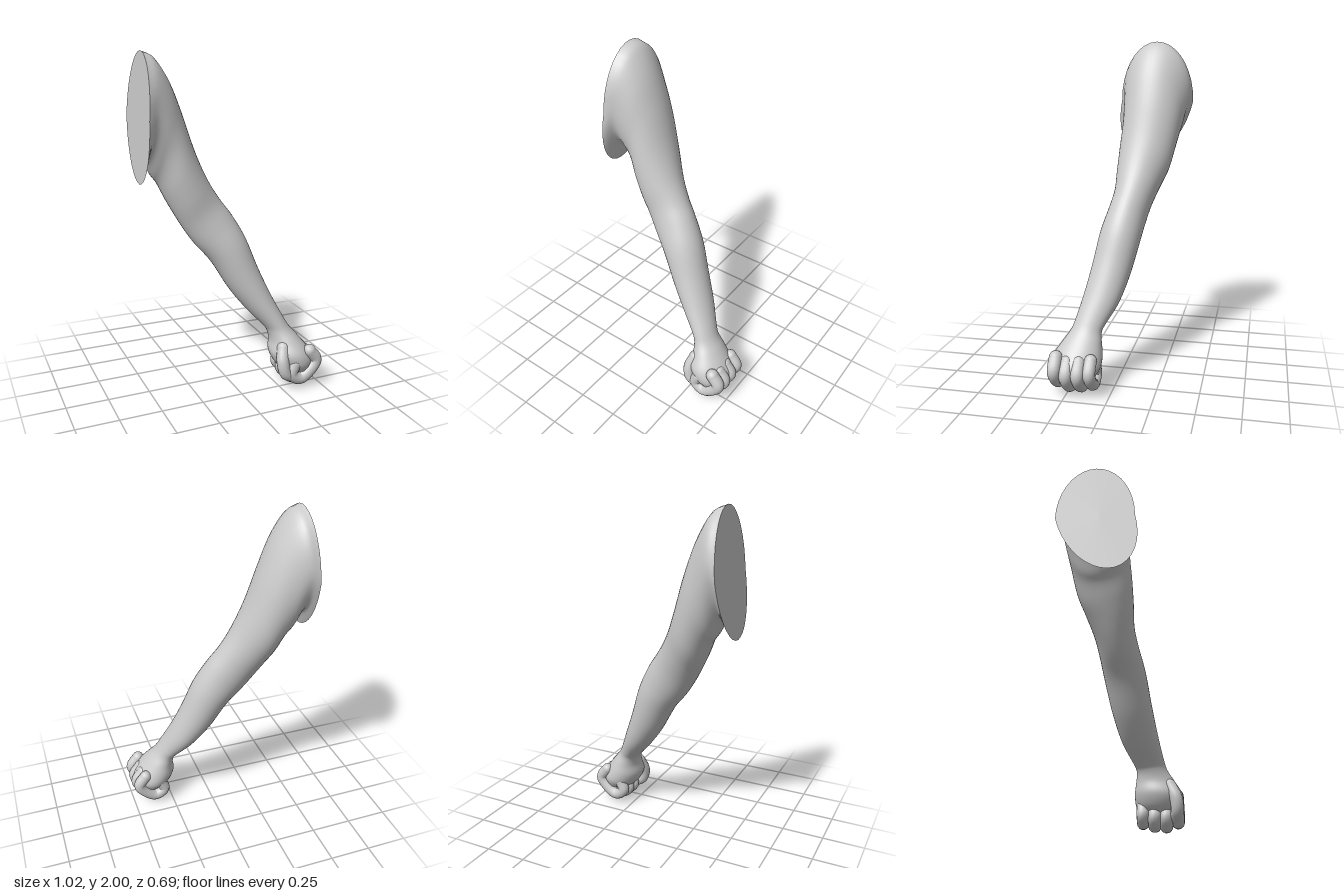
import * as THREE from 'three';

const SIDES = 36, STEPS = 80;
const material = new THREE.MeshStandardMaterial({ color: 0xcccccc });

// Cross-sections from shoulder to knuckles:
// inner x, y | outer x, y | back z, front z | forward tilt | forward shift of the inner edge
const sections = [
  [-.510, 1.27, -.460, 2.00, -.35, .11, 0, .08],
  [-.470, 1.38, -.390, 1.965, -.335, .085, 0, .03],
  [-.420, 1.30, -.310, 1.84, -.30, .075, .3, 0],
  [-.385, 1.25, -.240, 1.66, -.275, .07, .7, 0],
  [-.345, 1.16, -.170, 1.44, -.24, .08, 1, 0],
  [-.300, 1.07, -.100, 1.27, -.19, .085, 1, 0],
  [-.250, .98, -.030, 1.15, -.15, .085, 1, 0],
  [-.190, .89, .040, 1.05, -.125, .105, 1, 0],
  [-.100, .78, .115, .91, -.10, .14, 1, 0],
  [.000, .61, .180, .73, -.06, .17, 1, 0],
  [.100, .475, .250, .56, -.01, .20, 1, 0],
  [.190, .375, .310, .43, .05, .23, .6, 0],
  [.215, .335, .345, .365, .07, .25, .2, 0],
  [.225, .28, .390, .31, .065, .29, 0, 0],
  [.217, .21, .445, .24, .055, .335, 0, 0],
  [.250, .14, .480, .18, .06, .34, 0, 0],
  [.300, .10, .470, .12, .09, .32, 0, 0],
];

// Smooth blend of the section values at t = 0..1
const track = (a, b, c) => new THREE.CatmullRomCurve3(
  sections.map(s => new THREE.Vector3(s[a], s[b], s[c])), false, 'catmullrom', 0.5);
const innerTrack = track(0, 1, 6), outerTrack = track(2, 3, 7), depthTrack = track(4, 5, 6);

function ring(t) {
  const a = innerTrack.getPoint(t), b = outerTrack.getPoint(t), d = depthTrack.getPoint(t);
  const half = (d.y - d.x) / 2, points = [];
  for (let j = 0; j < SIDES; j++) {
    const angle = j / SIDES * Math.PI * 2, c = Math.cos(angle), s = Math.sin(angle);
    points.push([
      (a.x + b.x) / 2 + c * (b.x - a.x) / 2 - .10 * a.z * half * s,
      (a.y + b.y) / 2 + c * (b.y - a.y) / 2 + .18 * a.z * half * s,
      (d.x + d.y) / 2 + half * s + b.z * Math.max(0, -c),
    ]);
  }
  return points;
}

function geometryFrom(points, index) {
  const g = new THREE.BufferGeometry();
  g.setAttribute('position', new THREE.Float32BufferAttribute(points.flat(), 3));
  g.setIndex(index);
  g.computeVertexNormals();
  return g;
}

function loft() {
  const points = [], index = [];
  for (let i = 0; i <= STEPS; i++) points.push(...ring(i / STEPS));
  for (let i = 0; i < STEPS; i++) {
    for (let j = 0; j < SIDES; j++) {
      const p = i * SIDES + j, q = i * SIDES + (j + 1) % SIDES;
      index.push(p, q, p + SIDES, q, q + SIDES, p + SIDES);
    }
  }
  return geometryFrom(points, index);
}

// Flat disc closing one end of the loft
function endCap(t, flip) {
  const points = ring(t), index = [];
  const centre = [0, 1, 2].map(k => points.reduce((sum, p) => sum + p[k], 0) / SIDES);
  points.push(centre);
  for (let j = 0; j < SIDES; j++) {
    const n = (j + 1) % SIDES;
    index.push(SIDES, flip ? n : j, flip ? j : n);
  }
  return geometryFrom(points, index);
}

function addMesh(parent, name, geometry) {
  const mesh = new THREE.Mesh(geometry, material);
  mesh.name = name;
  parent.add(mesh);
  return mesh;
}

// Curled digit: a tube with rounded ends
function digit(name, path, radius) {
  const group = new THREE.Group();
  group.name = name;
  const curve = new THREE.CatmullRomCurve3(path.map(p => new THREE.Vector3(...p)));
  addMesh(group, name + 'Bend', new THREE.TubeGeometry(curve, 28, radius, 14));
  [path[0], path[path.length - 1]].forEach((p, i) => {
    addMesh(group, name + (i ? 'Tip' : 'Root'), new THREE.SphereGeometry(radius, 14, 10)).position.set(...p);
  });
  return group;
}

export function createModel() {
  const model = new THREE.Group();
  model.name = 'arm';

  // Arm and palm, with the flat cut at the shoulder
  addMesh(model, 'armAndPalm', loft());
  addMesh(model, 'shoulderCut', endCap(0, true));
  addMesh(model, 'palmEnd', endCap(1, false));

  // Fist: four curled fingers side by side, little finger at the back
  const fist = new THREE.Group();
  fist.name = 'fist';
  const curl = [[.425, .21], [.468, .145], [.425, .08], [.36, .042], [.305, .08], [.325, .14]];
  const lift = [.018, .004, 0, .022];
  ['littleFinger', 'ringFinger', 'middleFinger', 'indexFinger'].forEach((name, i) => {
    const z = .1 + i * .068;
    fist.add(digit(name, curl.map(([x, y]) => [x, y + lift[i], z]), i ? .039 : .036));
  });

  // Thumb folded over the front of the fingers
  fist.add(digit('thumb', [[.268, .26, .26], [.25, .18, .295], [.268, .11, .3], [.31, .085, .29], [.345, .09, .265]], .038));
  model.add(fist);

  return model;
}
